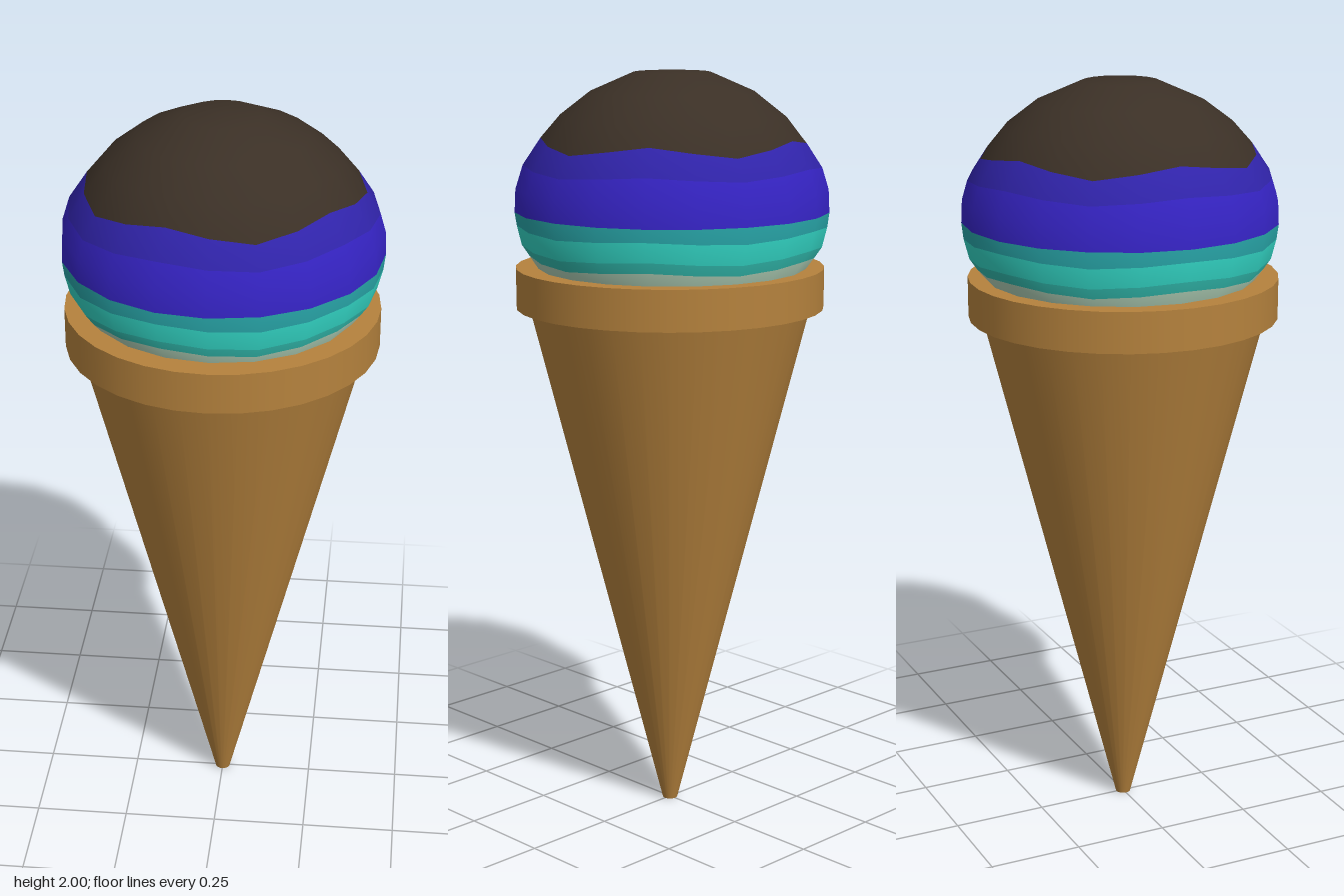
import * as THREE from 'three';

const mat = (name, color, side = THREE.FrontSide) => {
  const m = new THREE.MeshStandardMaterial({ color, side });
  m.name = name;
  return m;
};

// One coloured ring of the scoop: [radius, height, ripple] from bottom to top
function scoopBand(name, profile, material) {
  const geo = new THREE.LatheGeometry(profile.map(([r, y]) => new THREE.Vector2(r, y)), 20);
  const pos = geo.attributes.position, nor = geo.attributes.normal;
  const n = new THREE.Vector3();
  for (let i = 0; i < pos.count; i++) {
    const [r, y, ripple] = profile[i % profile.length];
    const angle = Math.floor(i / profile.length) * Math.PI / 10;
    // five soft waves around the edge, slid along the round surface
    const dy = -ripple * Math.cos(5 * (angle - Math.PI / 2));
    const rr = r > 0 ? r - dy * (y - 1.6) / r : 0;
    pos.setXYZ(i, rr * Math.sin(angle), y + dy, rr * Math.cos(angle));
    n.set(pos.getX(i), pos.getY(i) - 1.6, pos.getZ(i)).normalize();
    nor.setXYZ(i, n.x, n.y, n.z);
  }
  const mesh = new THREE.Mesh(geo, material);
  mesh.name = name;
  return mesh;
}

export function createModel() {
  const model = new THREE.Group();
  model.name = 'iceCreamCone';
  const wafer = mat('wafer', 0xb5823d);

  // Tapered cone with a small blunt tip
  const cone = new THREE.Mesh(new THREE.CylinderGeometry(0.372, 0.02, 1.39, 32), wafer);
  cone.name = 'cone';
  cone.position.y = 0.695;

  // Wide collar around the mouth
  const rim = new THREE.Mesh(new THREE.CylinderGeometry(0.405, 0.405, 0.106, 32), wafer);
  rim.name = 'rim';
  rim.position.y = 1.439;
  model.add(cone, rim);

  // Scoop, stacked from colour bands
  const scoop = new THREE.Group();
  scoop.name = 'scoop';
  scoop.position.z = -0.008;
  const a = [0.35, 1.49, 0], b = [0.373, 1.521, 0.006], c = [0.393, 1.55, 0.006];
  const d = [0.406, 1.602, 0.005], e = [0.411, 1.64, 0], f = [0.391, 1.755, 0.007];
  const g = [0.35, 1.817, 0.014];
  scoop.add(
    scoopBand('paleBand', [[0.3, 1.45, 0], a, b], mat('paleMint', 0xa9c8b0)),
    scoopBand('lowerTealBand', [b, c], mat('teal', 0x2eb0a4)),
    scoopBand('turquoiseBand', [c, d], mat('turquoise', 0x30cdbd)),
    scoopBand('upperTealBand', [d, e], mat('deepTeal', 0x269fa2)),
    scoopBand('blueBand', [e, [0.408, 1.7, 0], f], mat('blue', 0x3523c2)),
    scoopBand('upperBlueBand', [f, g], mat('darkBlue', 0x3124ac)),
    scoopBand('chocolateCap', [g, [0.296, 1.882, 0.006], [0.215, 1.944, 0], [0.1, 1.994, 0], [0, 2, 0]],
      mat('chocolate', 0x3b3026))
  );
  model.add(scoop);
  return model;
}
